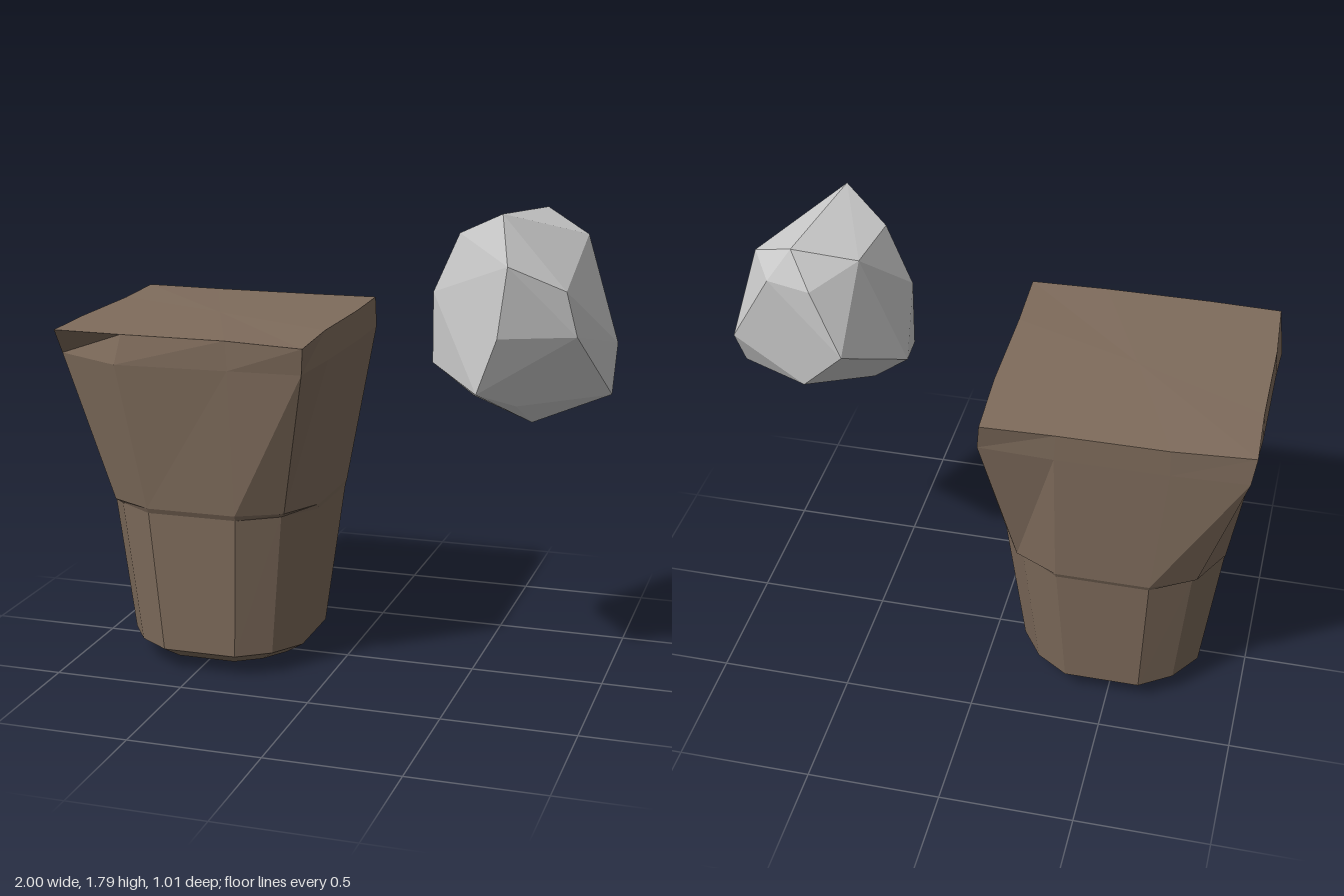
import * as THREE from 'three';
import { ConvexGeometry } from 'three/addons/geometries/ConvexGeometry.js';

// Angles of one twelve-sided ring: a corner at 45 degrees flanked by two face edges.
const ANGLES = [];
for (let q = 0; q < 4; q++) for (const a of [22.5, 45, 67.5]) ANGLES.push(((q * 90 + a) * Math.PI) / 180);

// A ring of half sizes hx, hz, blended from round (square = 0) to square (square = 1).
function ring({ y, cx, cz, hx, hz, square }) {
  return ANGLES.map((a) => {
    const s = Math.sin(a), c = Math.cos(a);
    const round = 1 / Math.cos(Math.PI / 8);
    const k = THREE.MathUtils.lerp(round, 1 / Math.max(Math.abs(s), Math.abs(c)), square);
    return new THREE.Vector3(cx + s * k * hx, y, cz + c * k * hz);
  });
}

// Skin a stack of rings from bottom to top and close both ends with a fan.
function loft(rings, bottom, top) {
  const pos = [];
  const tri = (...pts) => pts.forEach((p) => pos.push(p.x, p.y, p.z));
  const n = ANGLES.length, last = rings[rings.length - 1];
  for (let i = 0; i < n; i++) {
    const j = (i + 1) % n;
    for (let r = 0; r < rings.length - 1; r++) {
      const lo = rings[r], hi = rings[r + 1];
      tri(lo[i], lo[j], hi[j]);
      tri(lo[i], hi[j], hi[i]);
    }
    tri(bottom, rings[0][j], rings[0][i]);
    tri(top, last[i], last[j]);
  }
  const g = new THREE.BufferGeometry();
  g.setAttribute('position', new THREE.Float32BufferAttribute(pos, 3));
  g.computeVertexNormals();
  return g;
}

export function createModel() {
  const group = new THREE.Group();

  // Earth column: rounded foot, flaring into a square slab with corner ridges
  const rings = [
    { y: 0.015, cx: -0.48, cz: 0.01, hx: 0.2, hz: 0.21, square: 0 },
    { y: 0.035, cx: -0.48, cz: 0.01, hx: 0.27, hz: 0.27, square: 0 },
    { y: 0.085, cx: -0.48, cz: 0.005, hx: 0.345, hz: 0.35, square: 0 },
    { y: 0.64, cx: -0.48, cz: -0.01, hx: 0.415, hz: 0.415, square: 0 },
    { y: 0.66, cx: -0.48, cz: -0.01, hx: 0.42, hz: 0.425, square: 0.15 },
    { y: 1.22, cx: -0.505, cz: -0.005, hx: 0.49, hz: 0.485, square: 0.9 },
    { y: 1.33, cx: -0.508, cz: -0.008, hx: 0.482, hz: 0.492, square: 1 },
  ].map(ring);
  // chipped front corner under the rim
  rings[5][10].set(-1.0, 1.22, 0.36);
  rings[5][11].set(-0.73, 1.22, 0.5);
  // slightly skewed slab corners
  rings[6][1].set(-0.015, 1.32, 0.49);
  rings[6][4].set(-0.04, 1.33, -0.508);
  rings[6][7].set(-1.0, 1.335, -0.485);
  rings[6][10].set(-0.975, 1.33, 0.475);
  const earth = new THREE.Mesh(
    loft(rings, new THREE.Vector3(-0.48, 0, 0.01), new THREE.Vector3(-0.51, 1.335, 0)),
    new THREE.MeshStandardMaterial({ color: 0x7f6c5c, flatShading: true })
  );
  earth.name = 'earthColumn';
  group.add(earth);

  // Floating boulder: the hull of its corner points
  const corners = [
    // crown
    [0.64, 1.79, 0.26], [0.71, 1.76, -0.2], [0.88, 1.68, -0.1], [0.46, 1.7, 0.14], [0.49, 1.69, -0.11],
    // front
    [0.69, 1.63, 0.4], [0.66, 1.38, 0.41], [0.58, 1.17, 0.37], [0.7, 1.11, 0.25],
    // left side
    [0.87, 1.53, 0.26], [0.91, 1.37, 0.25], [1.0, 1.29, -0.09], [1.0, 1.12, 0.01],
    // back
    [0.8, 1.63, -0.22], [0.63, 1.63, -0.265], [0.52, 1.38, -0.28], [0.7, 1.18, -0.19],
    // right side and underside
    [0.36, 1.48, 0.12], [0.355, 1.22, 0.0], [0.36, 1.22, 0.12], [0.5, 1.09, 0.05], [0.73, 1.02, 0.11],
  ].map((p) => new THREE.Vector3(...p));
  const boulder = new THREE.Mesh(
    new ConvexGeometry(corners),
    new THREE.MeshStandardMaterial({ color: 0xcccccc, flatShading: true })
  );
  boulder.name = 'boulder';
  group.add(boulder);

  return group;
}
